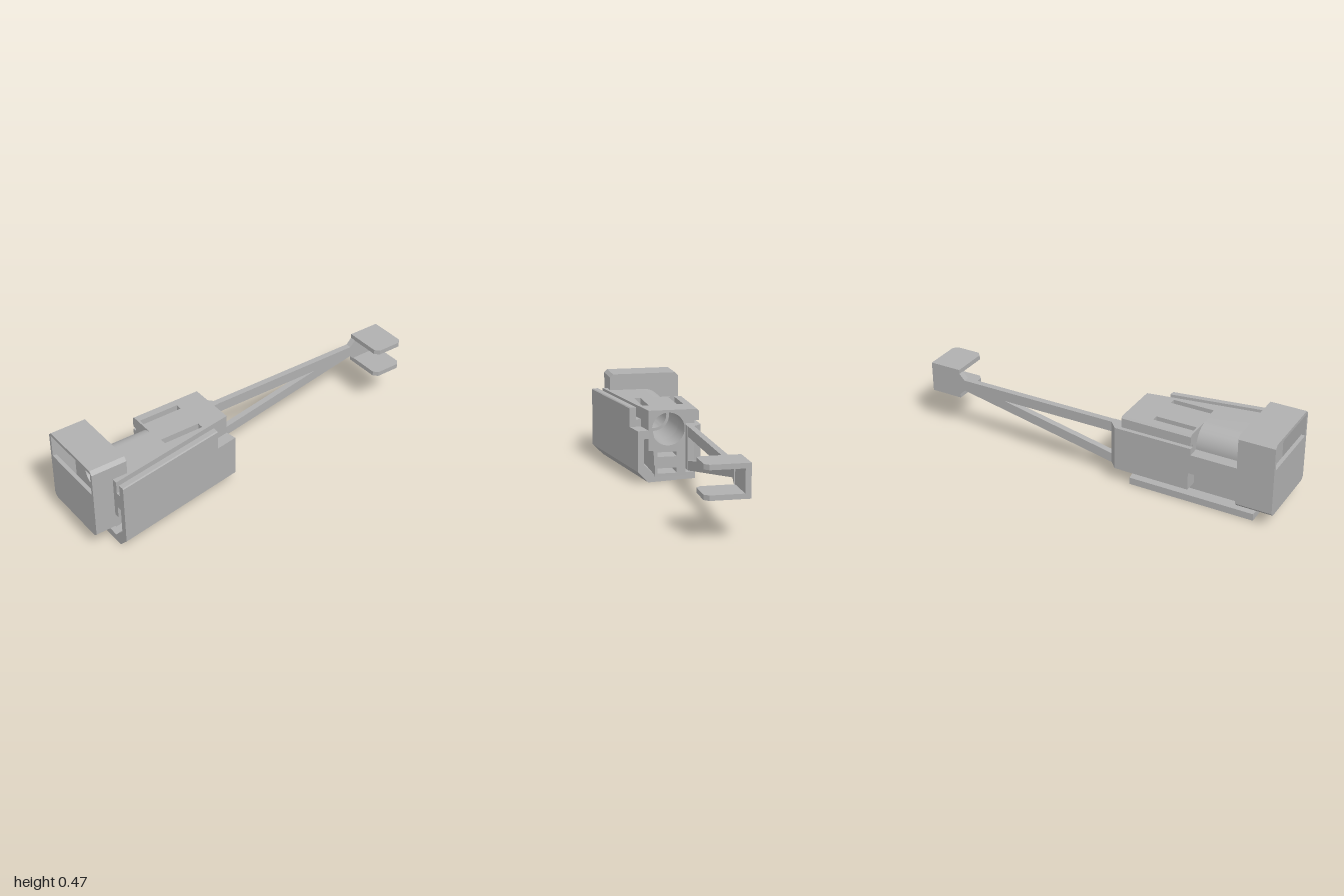
import * as THREE from 'three';
import { toCreasedNormals } from 'three/addons/utils/BufferGeometryUtils.js';

const SLOPE = 0.1645; // sideways drift of the slanted right side per unit of z

export function createModel() {
  const model = new THREE.Group();
  const grey = new THREE.MeshStandardMaterial({ color: 0xb0b0b0 });
  grey.name = 'plain grey';

  const rect = (x0, y0, x1, y1) => [[x0, y0], [x1, y0], [x1, y1], [x0, y1]];
  const circle = (cx, cy, r, a0 = 0, a1 = Math.PI * 2, n = 48) =>
    Array.from({ length: n + 1 }, (_, i) => {
      const a = a0 + (a1 - a0) * i / n;
      return [cx + r * Math.cos(a), cy + r * Math.sin(a)];
    });
  const bevelled = (x0, y0, x1, y1, c) => [
    [x0 + c, y0], [x1 - c, y0], [x1, y0 + c], [x1, y1 - c],
    [x1 - c, y1], [x0 + c, y1], [x0, y1 - c], [x0, y0 + c]];
  const toVectors = pts => pts.map(p => new THREE.Vector2(p[0], p[1]));

  // Extrude an outline with holes between two depths, then orient or warp it
  function prism(name, pts, d0, d1, { holes = [], axis = 'z', warp } = {}) {
    const shape = new THREE.Shape(toVectors(pts));
    holes.forEach(h => shape.holes.push(new THREE.Path(toVectors(h))));
    let geo = new THREE.ExtrudeGeometry(shape, { depth: d1 - d0, bevelEnabled: false });
    geo.translate(0, 0, d0);
    if (axis === 'x') geo.rotateY(-Math.PI / 2);
    if (axis === 'y') geo.rotateX(Math.PI / 2);
    if (warp) {
      const p = geo.attributes.position;
      for (let i = 0; i < p.count; i++) {
        const [x, z] = warp(p.getX(i), p.getZ(i));
        p.setX(i, x);
        p.setZ(i, z);
      }
    }
    geo = toCreasedNormals(geo, 0.4);
    const mesh = new THREE.Mesh(geo, grey);
    mesh.name = name;
    model.add(mesh);
  }
  // Outline in (z, y) extruded across x, and outline in (x, z) extruded up y
  const across = (name, pts, x0, x1, holes) => prism(name, pts, -x1, -x0, { axis: 'x', holes });
  const upward = (name, pts, y0, y1) => prism(name, pts, -y1, -y0, { axis: 'y' });

  // Front cap: windowed face, hollow frame and rear wall
  const cap = bevelled(-0.243, 0.08, 0.151, 0.475, 0.018);
  const windowHole = rect(-0.227, 0.336, 0.136, 0.458);
  prism('capFace', cap, 0.98, 1, { holes: [windowHole] });
  prism('capFrame', cap, 0.83, 0.98, { holes: [rect(-0.227, 0.1, 0.136, 0.458)] });
  prism('capRearWall', cap, 0.81, 0.83, { holes: [circle(-0.045, 0.283, 0.08)] });

  // Body: straight on the left, slanted on the right, bored from end to end
  const bodyWarp = (x, z) => [x > 0.1 ? x + SLOPE * (z - 0.89) : x, z];
  const slots = [rect(-0.09, 0.045, 0.015, 0.073), rect(-0.09, 0.135, 0.015, 0.16)];
  const under = [[-0.21, 0.17], [-0.137, 0.17], [-0.137, 0.03], [0.028, 0.03],
    [0.028, 0.09], [0.15, 0.09], [0.15, 0.17], [0.18, 0.17], [0.18, 0.385]];
  const leftSide = [[-0.2, 0.385], [-0.21, 0.375], [-0.21, 0.325],
    [-0.185, 0.325], [-0.185, 0.31], [-0.21, 0.31]];
  const notch = (x0, x1) => [[x1, 0.385], [x1, 0.335], [x0, 0.335], [x0, 0.385]];
  const plain = [...under, ...leftSide];
  const notched = [...under, ...notch(0.03, 0.065), ...notch(-0.16, -0.125), ...leftSide];
  const rounded = [...under, ...circle(-0.045, 0.283, 0.102, Math.PI / 2, Math.PI, 16),
    [-0.147, 0.275], [-0.21, 0.275]];
  [['bodyRear', plain, 0.17, 0.32, 0.088], ['bodySlotted', notched, 0.32, 0.54, 0.088],
    ['bodyStep', plain, 0.54, 0.55, 0.088], ['bodyFront', rounded, 0.55, 0.89, 0.072],
  ].forEach(([name, pts, z0, z1, r]) =>
    prism(name, pts, z0, z1, { holes: [circle(-0.045, 0.283, r), ...slots], warp: bodyWarp }));

  // Guard: floor plate turning up into a slanted side wall with a connecting rib
  const guard = top => [[-0.2, 0], [0.182, 0], [0.241, 0.06], ...top,
    [0.175, 0.235], [0.207, 0.235], [0.207, 0.097], [0.145, 0.037], [-0.2, 0.037]];
  const drift = (x, z) => (x > -0.19 ? x + SLOPE * (z - 0.89) : x);
  const guardWarp = (x, z) => {
    const zz = z < 0.2 ? z + SLOPE * (0.06 - drift(x, z)) : z;
    return [drift(x, zz), zz];
  };
  prism('guard', guard([[0.241, 0.38], [0.236, 0.385], [0.207, 0.385], [0.207, 0.32], [0.175, 0.32]]),
    0.28, 0.89, { warp: guardWarp });
  prism('guardRear', guard([[0.241, 0.28], [0.175, 0.28]]), 0.17, 0.28, { warp: guardWarp });

  // Panel and angled post that carry the arm
  across('armPanel', rect(0.165, 0.074, 0.54, 0.2), -0.21, -0.137);
  upward('armPost', [[-0.165, 0.09], [-0.13, 0.09], [-0.13, 0.14], [-0.14, 0.175],
    [-0.21, 0.175], [-0.21, 0.132]], 0.075, 0.31);

  // Tapered arm with a triangular opening and a flared tip
  across('arm', [[0.14, 0.075], [0.14, 0.31], [-0.795, 0.31], [-0.825, 0.342],
    [-0.825, 0.222], [-0.795, 0.25], [0.085, 0.075]], -0.165, -0.132,
  [[[0.095, 0.255], [-0.55, 0.255], [0.095, 0.125]]]);

  // Fork at the end of the arm: web and two plates with clipped corners
  across('forkWeb', rect(-1, 0.2, -0.825, 0.365), -0.165, -0.137);
  const forkPlate = [[-0.165, -1], [0.028, -1], [0.05, -0.978],
    [0.05, -0.847], [0.028, -0.825], [-0.165, -0.825]];
  [0.2, 0.34].forEach((y, i) => upward(i ? 'forkTopPlate' : 'forkBottomPlate', forkPlate, y, y + 0.025));

  return model;
}
